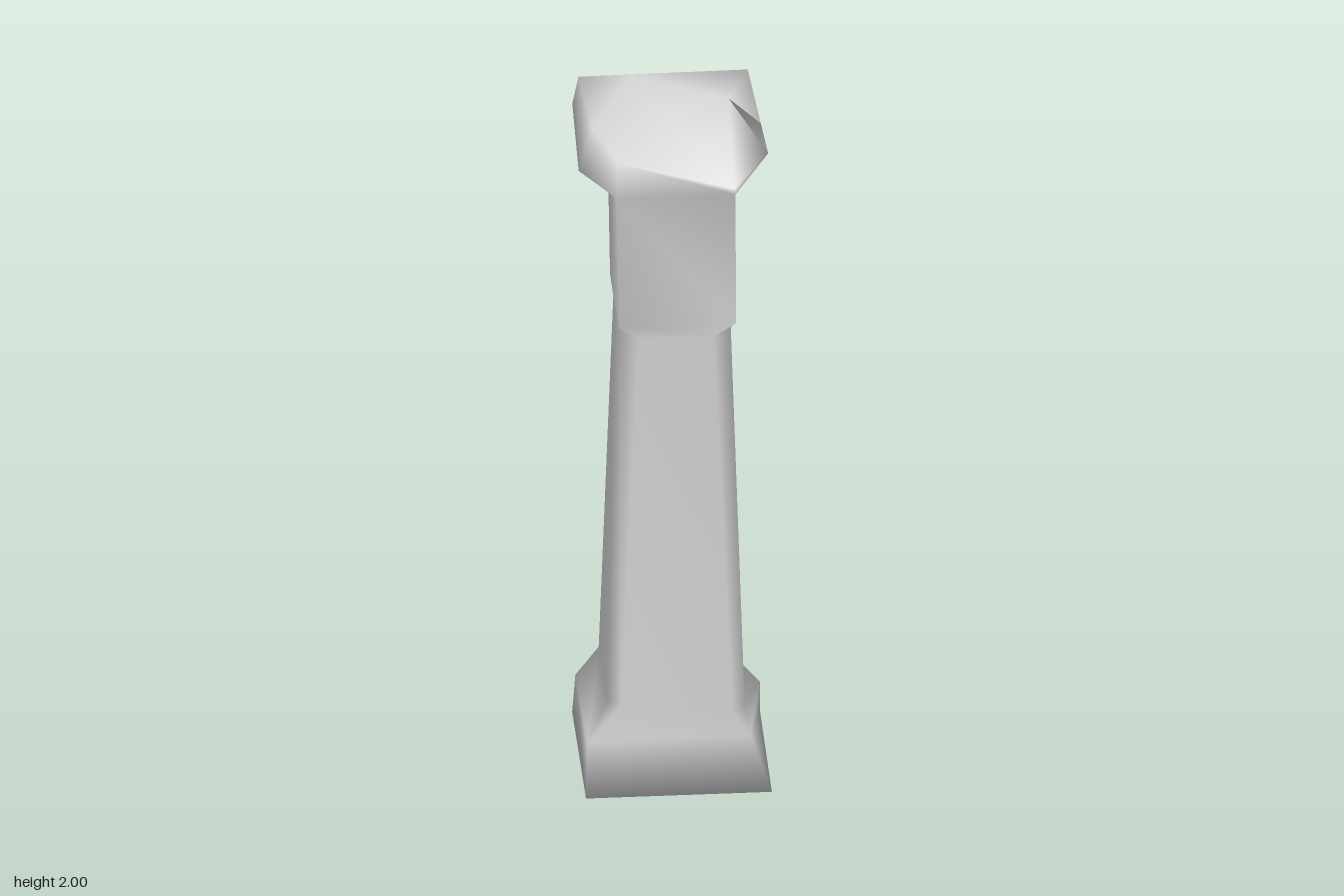
import * as THREE from 'three';
import { mergeVertices } from 'three/addons/utils/BufferGeometryUtils.js';

// Ring of 8 points from four corners (back left, back right, front right, front left
// as seen from above, x to the right), each corner cut by c.
function ring(corners, c = 0) {
  return corners.flatMap(([x, y, z], i) => {
    const alongX = [x - Math.sign(x) * c, y, z];
    const alongZ = [x, y, z - Math.sign(z) * c];
    return i % 2 ? [alongX, alongZ] : [alongZ, alongX];
  });
}

// Cap ring: plain back corners, front corners split by the broken notch.
const capRing = (bl, br, fr, notchR, notchL, fl) => [bl, bl, br, br, fr, notchR, notchL, fl];

function loft(rings) {
  const index = [];
  const n = 8;
  for (let r = 0; r < rings.length - 1; r++) {
    for (let i = 0; i < n; i++) {
      const a = r * n + i, b = r * n + (i + 1) % n;
      index.push(a, a + n, b + n, a, b + n, b);
    }
  }
  // underside
  index.push(0, 2, 4, 0, 4, 6);
  // broken top: fans around the notch
  const t = (rings.length - 1) * n;
  for (const f of [[0, 6, 2], [2, 6, 5], [2, 5, 4], [0, 7, 6]]) index.push(...f.map((k) => t + k));

  const g = new THREE.BufferGeometry();
  g.setAttribute('position', new THREE.Float32BufferAttribute(rings.flat(2), 3));
  g.setIndex(index);
  const welded = mergeVertices(g, 1e-4);
  welded.computeVertexNormals();
  return welded;
}

export function createModel() {
  const group = new THREE.Group();
  group.name = 'brokenColumn';

  const rings = [
    // plinth, chipped on the right
    ring([[-0.25, 0, -0.255], [0.26, 0, -0.23], [0.257, 0, 0.253], [-0.25, 0, 0.255]]),
    ring([[-0.245, 0.14, -0.205], [0.258, 0.1, -0.205], [0.2, 0.17, 0.238], [-0.245, 0.16, 0.236]]),
    // tapering shaft with cut corners
    ring([[-0.185, 0.25, -0.19], [0.19, 0.2, -0.19], [0.19, 0.22, 0.195], [-0.185, 0.25, 0.195]], 0.035),
    ring([[-0.15, 1.36, -0.14], [0.155, 1.36, -0.14], [0.155, 1.36, 0.168], [-0.15, 1.36, 0.168]], 0.05),
    // square neck leaning back
    ring([[-0.155, 1.4, -0.142], [0.168, 1.4, -0.142], [0.166, 1.4, 0.17], [-0.152, 1.4, 0.17]]),
    ring([[-0.16, 1.76, -0.16], [0.166, 1.76, -0.16], [0.167, 1.77, 0.125], [-0.155, 1.76, 0.105]]),
    // flared cap with a broken front
    capRing([-0.25, 1.87, -0.25], [0.235, 1.87, -0.25], [0.26, 1.87, 0.08],
      [0.165, 1.79, 0.13], [-0.15, 1.86, 0.093], [-0.262, 1.87, 0.145]),
    capRing([-0.235, 1.965, -0.225], [0.228, 1.96, -0.243], [0.24, 1.96, 0.075],
      [0.16, 1.985, -0.03], [-0.1, 2.0, -0.16], [-0.22, 1.965, 0.075]),
  ];

  const column = new THREE.Mesh(loft(rings), new THREE.MeshStandardMaterial({ color: 0xcccccc }));
  column.name = 'column';
  group.add(column);
  return group;
}
